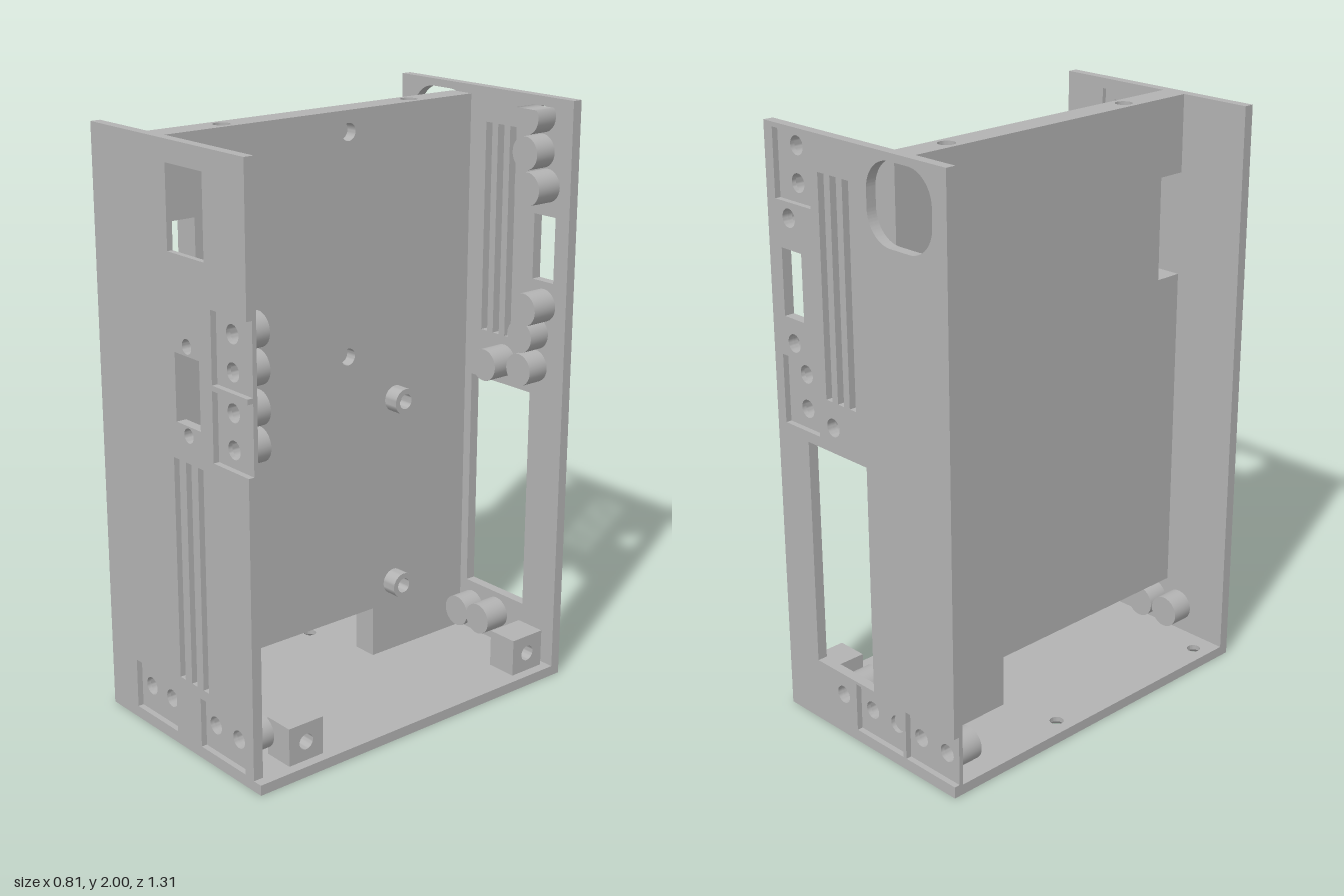
import * as THREE from 'three';
import { toCreasedNormals } from 'three/addons/utils/BufferGeometryUtils.js';

const gray = new THREE.MeshStandardMaterial({ color: 0xb2b2b2 });
gray.name = 'plain gray';

// outline and cut-out helpers
const poly = (pts) => new THREE.Shape(pts.map(([x, y]) => new THREE.Vector2(x, y)));
const rect = (x0, x1, y0, y1) => poly([[x0, y0], [x1, y0], [x1, y1], [x0, y1]]);
const disc = (x, y, r) => new THREE.Shape().absarc(x, y, r, 0, Math.PI * 2, false);

function roundRect(x0, x1, y0, y1, r) {
  const s = new THREE.Shape();
  s.absarc(x1 - r, y1 - r, r, 0, Math.PI / 2);
  s.absarc(x0 + r, y1 - r, r, Math.PI / 2, Math.PI);
  s.absarc(x0 + r, y0 + r, r, Math.PI, Math.PI * 1.5);
  s.absarc(x1 - r, y0 + r, r, Math.PI * 1.5, Math.PI * 2);
  return s;
}

function slab(outline, holes, depth) {
  outline.holes = holes;
  const g = new THREE.ExtrudeGeometry(outline, { depth, bevelEnabled: false, curveSegments: 16 });
  return toCreasedNormals(g, 0.6);
}

// blind cylindrical cup, open at its +y end (y = length)
function cup(R, r, length, floor) {
  const pts = [[0, 0], [R, 0], [R, length], [r, length], [r, floor], [0, floor]];
  const g = new THREE.LatheGeometry(pts.map(([x, y]) => new THREE.Vector2(x, y)), 32);
  return toCreasedNormals(g, 0.6);
}

export function createModel() {
  const model = new THREE.Group();
  model.name = 'enclosureFrame';
  const add = (name, geometry, x = 0, y = 0, z = 0) => {
    const m = new THREE.Mesh(geometry, gray);
    m.name = name;
    m.position.set(x, y, z);
    model.add(m);
    return m;
  };

  const W = 0.405, D = 0.655, T = 0.035, IN = 0.62;
  const skin = 0.015, recess = 0.02, magnetR = 0.055, holeR = 0.03;

  // base with two countersunk screw holes
  const screws = [[-0.345, -0.145], [-0.345, 0.545]];
  const baseLayer = (r, depth) =>
    slab(rect(-W, W, -D, D), screws.map(([x, z]) => disc(x, -z, r)), depth).rotateX(-Math.PI / 2);
  add('baseBottom', baseLayer(0.042, 0.018));
  add('baseTop', baseLayer(0.023, T - 0.018), 0, 0.018);
  for (const [x, z] of screws) {
    const cone = new THREE.LatheGeometry([new THREE.Vector2(0.023, 0.018), new THREE.Vector2(0.042, 0)], 32);
    add('countersink', cone, x, 0, z);
  }

  // front panel: thin inner skin plus outer layer with recesses
  const frontCups = [];
  for (const y of [1.44, 1.325, 1.2, 1.085]) frontCups.push([0.275, y]);
  for (const x of [-0.205, -0.09, 0.15, 0.27]) frontCups.push([x, 0.13]);
  const frontOpenings = () => [
    ...[-0.01, 0.053, 0.115].map((x) => rect(x, x + 0.028, 0.245, 0.99)),
    rect(0.01, 0.135, 1.11, 1.33),
    disc(0.073, 1.36, 0.024),
    disc(0.073, 1.08, 0.024),
  ];
  add('frontPanelInner', slab(rect(-W, 0.37, T, 1.97), [
    ...frontOpenings(),
    rect(-0.05, 0.21, 1.6, 1.935),
    ...frontCups.map(([x, y]) => disc(x, y, holeR)),
  ], skin), 0, 0, IN);
  const frontOutline = poly([
    [-W, T], [0.37, T], [0.37, 1.027], [0.197, 1.027], [0.197, 1.253], [0.37, 1.253],
    [0.37, 1.27], [0.197, 1.27], [0.197, 1.5], [0.37, 1.5], [0.37, 1.97], [-W, 1.97],
  ]);
  add('frontPanelOuter', slab(frontOutline, [
    ...frontOpenings(),
    rect(-0.013, 0.17, 1.635, 1.9),
    rect(-0.262, -0.035, 0.04, 0.21),
    rect(0.097, 0.327, 0.04, 0.21),
  ], recess), 0, 0, IN + skin);

  // back panel, built the same way
  const recessCups = [[0.275, 1.94], [0.275, 1.825], [0.275, 1.215], [0.275, 1.1]];
  for (const x of [0.005, -0.115, -0.23, -0.35]) recessCups.push([x, 0.13]);
  const singleCups = [[0.303, 1.715], [0.303, 1.315], [0.127, 1.085], [0.127, 0.145]];
  const backOpenings = () => [
    ...[0.015, 0.071, 0.127].map((x) => rect(x, x + 0.029, 1.17, 1.885)),
    rect(-0.027, 0.255, 0.22, 1.0),
    rect(0.25, 0.345, 1.395, 1.615),
    roundRect(-0.345, -0.065, 1.72, 1.975, 0.1),
    ...singleCups.map(([x, y]) => disc(x, y, holeR)),
  ];
  add('backPanelInner', slab(rect(-W, W, T, 2), [
    ...backOpenings(), ...recessCups.map(([x, y]) => disc(x, y, holeR)),
  ], skin), 0, 0, -IN - skin);
  const backOutline = poly([
    [-W, T], [W, T], [W, 2], [-W, 2], [-W, 0.21], [-0.178, 0.21], [-0.178, 0.04], [-W, 0.04],
  ]);
  add('backPanelOuter', slab(backOutline, [
    ...backOpenings(),
    rect(0.195, 0.365, 1.765, 1.985),
    rect(0.195, 0.365, 1.035, 1.265),
    rect(-0.165, 0.062, 0.04, 0.21),
  ], recess), 0, 0, -D);

  // magnet cups behind every connector hole
  for (const [x, y] of frontCups)
    add('frontMagnetCup', cup(magnetR, holeR, 0.08, 0.02).rotateX(Math.PI / 2), x, y, IN - 0.08);
  const backCup = (x, y, len) => {
    const g = cup(magnetR, holeR, len, 0.02).rotateX(-Math.PI / 2);
    const p = g.attributes.position;
    for (let i = 0; i < p.count; i++) p.setY(i, Math.min(p.getY(i), 1.968 - y)); // trim at the top edge
    add('backMagnetCup', g, x, y, -IN + len);
  };
  for (const [x, y] of recessCups) backCup(x, y, 0.08);
  for (const [x, y] of singleCups) backCup(x, y, 0.095);

  // centre wall with a front notch, a cable gap below and blind holes
  const wallTop = 1.935;
  const wallOutline = () => poly([
    [-IN, 0.215], [0.2, 0.215], [0.2, T], [IN, T], [IN, wallTop], [-IN, wallTop],
    [-IN, 1.71], [-0.52, 1.71], [-0.52, 1.36], [-IN, 1.36],
  ]);
  const wallHoles = [1.9, 1.155].map((y) => disc(0.085, y, 0.029));
  add('wallLeftSkin', slab(wallOutline(), [], 0.05).rotateY(Math.PI / 2), -0.15);
  add('wallRightSkin', slab(wallOutline(), wallHoles, 0.04).rotateY(Math.PI / 2), -0.1);
  const capHoles = [-0.38, 0.38].map((z) => disc(-0.105, z, 0.028));
  add('wallCap', slab(rect(-0.15, -0.06, -IN, IN), capHoles, T).rotateX(-Math.PI / 2), 0, wallTop);

  // board standoffs on the wall
  for (const z of [0.512, -0.293])
    for (const y of [0.97, 0.295])
      add('standoff', cup(0.045, 0.026, 0.055, 0.005).rotateZ(-Math.PI / 2), -0.06, y, z);

  // cover mounting blocks with a blind side hole
  for (const z of [0.448, -0.532]) {
    add('mountBlockBack', new THREE.BoxGeometry(0.02, 0.13, 0.136), 0.27, 0.1, z);
    const face = slab(rect(-0.068, 0.068, -0.065, 0.065), [disc(0, 0, 0.027)], 0.09);
    add('mountBlock', face.rotateY(Math.PI / 2), 0.28, 0.1, z);
  }
  return model;
}
